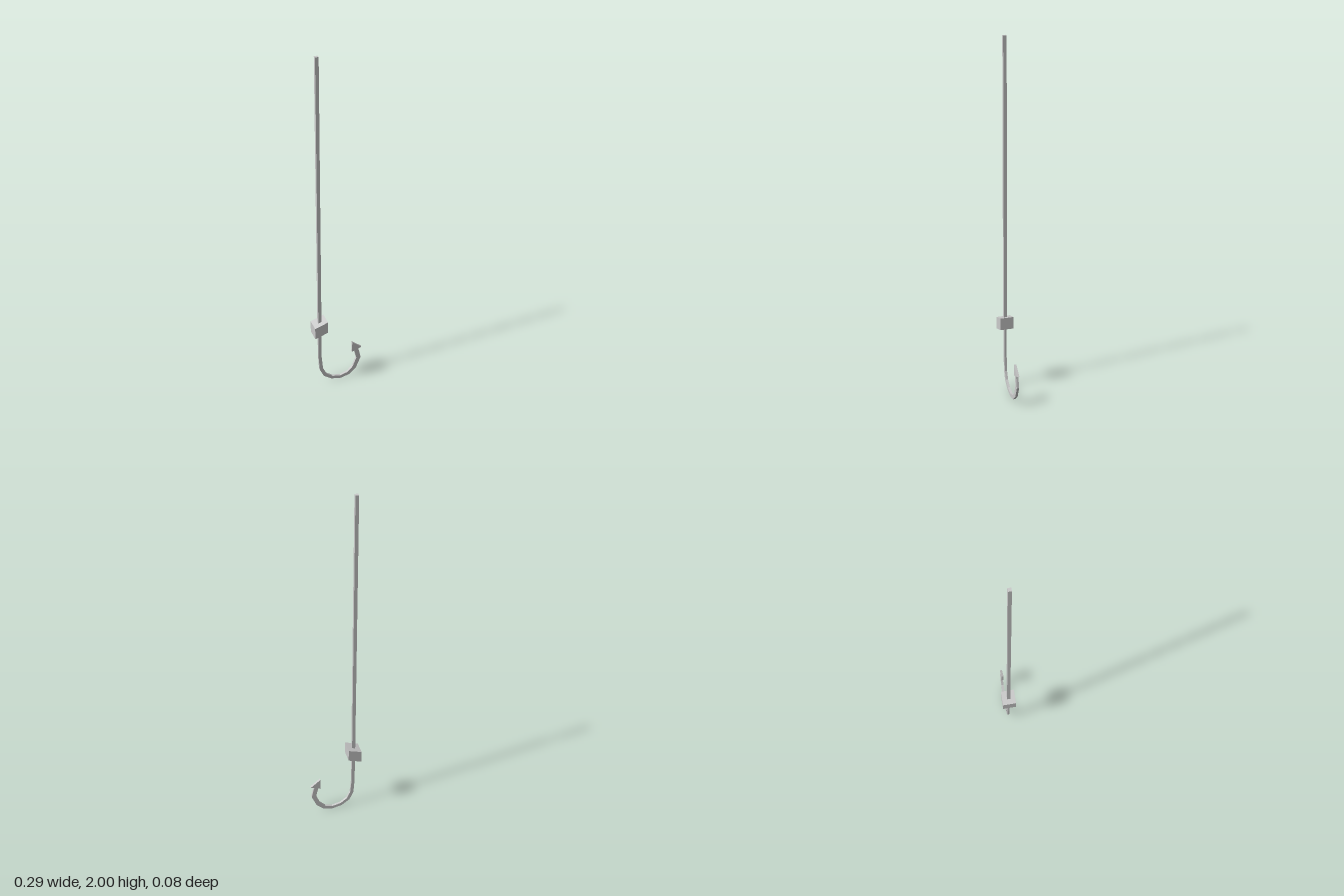
import * as THREE from 'three';

const material = new THREE.MeshStandardMaterial({ color: 0xcccccc, flatShading: true });
const SHAFT_X = -0.107;

// Flat plate cut from an outline in the xy plane, centred on z = 0
function plate(name, points, depth) {
  const geometry = new THREE.ExtrudeGeometry(new THREE.Shape(points), { depth, bevelEnabled: false });
  geometry.translate(0, 0, -depth / 2);
  const mesh = new THREE.Mesh(geometry, material);
  mesh.name = name;
  return mesh;
}

const toPoints = (list) => list.map(([x, y]) => new THREE.Vector2(x, y));

// Outline of a bent strip from centre line stations [x, y, halfWidth]
function stripOutline(stations) {
  const left = [], right = [];
  stations.forEach(([x, y, w], i) => {
    const a = stations[Math.max(i - 1, 0)];
    const b = stations[Math.min(i + 1, stations.length - 1)];
    const n = new THREE.Vector2(a[1] - b[1], b[0] - a[0]).normalize().multiplyScalar(w);
    left.push(new THREE.Vector2(x + n.x, y + n.y));
    right.unshift(new THREE.Vector2(x - n.x, y - n.y));
  });
  return [...left, ...right];
}

export function createModel() {
  const group = new THREE.Group();
  group.name = 'hookPole';

  // Long square shaft
  const shaft = new THREE.Mesh(new THREE.BoxGeometry(0.018, 1.6, 0.018), material);
  shaft.position.set(SHAFT_X, 1.2, 0);
  shaft.name = 'shaft';
  group.add(shaft);

  // Slanted collar block
  group.add(plate('collar', toPoints([
    [-0.145, 0.352], [-0.07, 0.377], [-0.07, 0.448], [-0.145, 0.423],
  ]), 0.076));

  // Hook, widening toward the tip
  group.add(plate('hook', stripOutline([
    [SHAFT_X, 0.39, 0.009],
    [SHAFT_X, 0.19, 0.009],
    [-0.1, 0.1, 0.01],
    [-0.078, 0.052, 0.01],
    [-0.037, 0.021, 0.009],
    [0.016, 0.0095, 0.0095],
    [0.064, 0.022, 0.011],
    [0.101, 0.058, 0.012],
    [0.126, 0.122, 0.013],
    [0.112, 0.184, 0.013],
  ]), 0.013));

  // Barbed triangular tip
  group.add(plate('barb', toPoints([
    [0.086, 0.173], [0.143, 0.194], [0.087, 0.241],
  ]), 0.013));

  return group;
}
